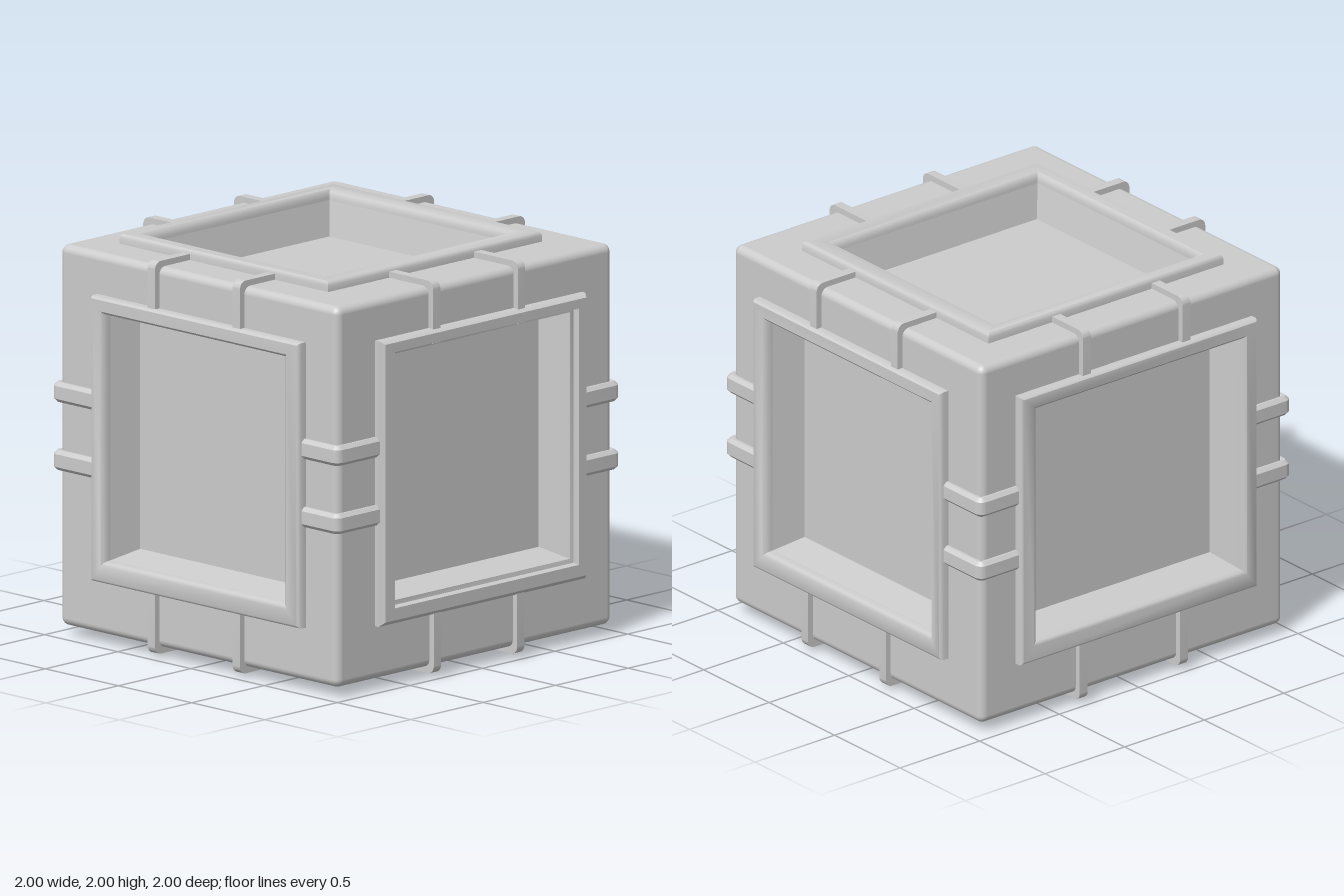
import * as THREE from 'three';
import { toCreasedNormals } from 'three/addons/utils/BufferGeometryUtils.js';
import { RoundedBoxGeometry } from 'three/addons/geometries/RoundedBoxGeometry.js';

const H = 0.95, R = 0.04;            // half size and edge rounding of the body
const STRAP = 0.98, FLOOR = 0.78;    // strap surface and recess floor, from the centre
const material = new THREE.MeshStandardMaterial({ color: 0xcccccc });
const X = new THREE.Vector3(1, 0, 0), Y = new THREE.Vector3(0, 1, 0), Z = new THREE.Vector3(0, 0, 1);
const neg = (v) => v.clone().negate();

// Each side: local axes, frame rectangle and opening rectangle [u0, u1, v0, v1]
const sides = [
  { name: 'front', u: X, v: Y, outer: [-0.69, 0.735, -0.68, 0.745], inner: [-0.575, 0.645, -0.57, 0.66], stepped: true },
  { name: 'right', u: neg(Z), v: Y, outer: [-0.74, 0.7, -0.68, 0.745], inner: [-0.64, 0.615, -0.57, 0.66] },
  { name: 'back', u: neg(X), v: Y, outer: [-0.735, 0.75, -0.68, 0.745], inner: [-0.635, 0.66, -0.57, 0.66] },
  { name: 'left', u: Z, v: Y, outer: [-0.69, 0.735, -0.68, 0.745], inner: [-0.6, 0.63, -0.57, 0.66] },
  { name: 'top', u: X, v: neg(Z), outer: [-0.74, 0.735, -0.68, 0.745], inner: [-0.655, 0.62, -0.57, 0.66] },
  { name: 'bottom', u: X, v: Z, outer: [-0.69, 0.735, -0.69, 0.74], inner: [-0.59, 0.64, -0.59, 0.64] },
];

// Frame profiles: [0 at outer edge .. 1 at opening, height]
const roundedProfile = [[0, 0.94], [0, 0.98], [0.05, 0.993], [0.14, 1], [0.8, 1], [0.93, 0.99], [1, 0.965], [1, 0.93]];
const steppedProfile = [[0, 0.94], [0, 0.975], [0.2, 1], [0.75, 1], [0.8, 0.965], [1, 0.96], [1, 0.93]];

function mesh(name, geometry) {
  const m = new THREE.Mesh(geometry, material);
  m.name = name;
  return m;
}

// Joins rectangular rings [rect, height] on one side of the cube, optionally closed by a floor
function ringSurface({ u, v }, rings, capped = false) {
  const n = u.clone().cross(v);
  const loops = rings.map(([[u0, u1, v0, v1], h]) =>
    [[u0, v0], [u1, v0], [u1, v1], [u0, v1]].map(([a, b]) =>
      new THREE.Vector3().addScaledVector(u, a).addScaledVector(v, b).addScaledVector(n, h)));
  const points = [];
  const quad = (a, b, c, d) => points.push(a, b, c, a, c, d);
  for (let k = 0; k < loops.length - 1; k++) {
    for (let i = 0; i < 4; i++) {
      const j = (i + 1) % 4;
      quad(loops[k][i], loops[k][j], loops[k + 1][j], loops[k + 1][i]);
    }
  }
  if (capped) quad(...loops[loops.length - 1]);
  const g = new THREE.BufferGeometry().setFromPoints(points);
  g.computeVertexNormals();
  return toCreasedNormals(g, 0.7);
}

// Rounded edges and corners of the cube, with the large flat faces left out
function bodyEdges() {
  const box = new RoundedBoxGeometry(2 * H, 2 * H, 2 * H, 4, R);
  const src = box.index ? box.toNonIndexed() : box;
  const p = src.attributes.position, q = src.attributes.normal;
  const positions = [], normals = [];
  const tri = new THREE.Triangle();
  for (let i = 0; i < p.count; i += 3) {
    tri.setFromAttributeAndIndices(p, i, i + 1, i + 2);
    if (tri.getArea() > 0.5) continue;
    for (let k = i; k < i + 3; k++) {
      positions.push(p.getX(k), p.getY(k), p.getZ(k));
      normals.push(q.getX(k), q.getY(k), q.getZ(k));
    }
  }
  const g = new THREE.BufferGeometry();
  g.setAttribute('position', new THREE.Float32BufferAttribute(positions, 3));
  g.setAttribute('normal', new THREE.Float32BufferAttribute(normals, 3));
  return g;
}

// L-shaped strap folded over a cube edge, its ends tucked under the frames
function strapGeometry(width, bevel) {
  const end = 0.67, under = 0.93, r = 0.04;
  const s = new THREE.Shape();
  s.moveTo(end, under);
  s.lineTo(under, under);
  s.lineTo(under, end);
  s.lineTo(STRAP, end);
  s.lineTo(STRAP, STRAP - r);
  s.absarc(STRAP - r, STRAP - r, r, 0, Math.PI / 2, false);
  s.lineTo(end, STRAP);
  s.closePath();
  const depth = width - 2 * bevel;
  const g = new THREE.ExtrudeGeometry(s, {
    depth, curveSegments: 5, bevelEnabled: bevel > 0,
    bevelSize: bevel, bevelThickness: bevel, bevelOffset: -bevel, bevelSegments: 1,
  });
  g.translate(0, 0, -depth / 2);
  return toCreasedNormals(g, 0.5);
}

export function createModel() {
  const model = new THREE.Group();
  model.name = 'panelledCube';
  const cube = new THREE.Group();
  cube.name = 'cube';
  cube.position.y = 1;
  model.add(cube);

  cube.add(mesh('bodyEdges', bodyEdges()));

  // Face panel, raised frame and sunken recess on all six sides
  const e = H - R;
  for (const side of sides) {
    const { name, outer, inner, stepped } = side;
    const t = 0.035;
    const floor = [inner[0] + t, inner[1] - t, inner[2] + t, inner[3] - t];
    const profile = stepped ? steppedProfile : roundedProfile;
    const frameRings = profile.map(([k, h]) => [outer.map((o, i) => o + (inner[i] - o) * k), h]);
    cube.add(
      mesh(name + 'Panel', ringSurface(side, [[[-e, e, -e, e], H], [inner, H]])),
      mesh(name + 'Frame', ringSurface(side, frameRings)),
      mesh(name + 'Recess', ringSurface(side, [[inner, 0.95], [floor, FLOOR]], true)),
    );
  }

  // Two straps over every edge: [normal, normal, edge axis, offsets along the axis]
  const narrow = strapGeometry(0.05, 0);
  const wide = strapGeometry(0.1, 0.018);
  const edges = [
    [Z, Y, X, [-0.295, 0.29]],
    [neg(Z), Y, X, [-0.315, 0.31]],
    [Z, neg(Y), X, [-0.29, 0.285]],
    [neg(Z), neg(Y), X, [-0.3, 0.33]],
    [X, Y, Z, [-0.325, 0.295]],
    [neg(X), Y, Z, [-0.29, 0.29]],
    [X, neg(Y), Z, [-0.235, 0.36]],
    [neg(X), neg(Y), Z, [-0.29, 0.29]],
  ];
  for (const a of [X, neg(X)]) for (const b of [Z, neg(Z)]) edges.push([a, b, Y, [-0.125, 0.215]]);

  for (const [a, b, axis, offsets] of edges) {
    for (const offset of offsets) {
      const strap = mesh(axis === Y ? 'wideStrap' : 'narrowStrap', axis === Y ? wide : narrow);
      const basis = new THREE.Matrix4().makeBasis(a, b, a.clone().cross(b));
      strap.quaternion.setFromRotationMatrix(basis);
      strap.position.copy(axis).multiplyScalar(offset);
      cube.add(strap);
    }
  }
  return model;
}
